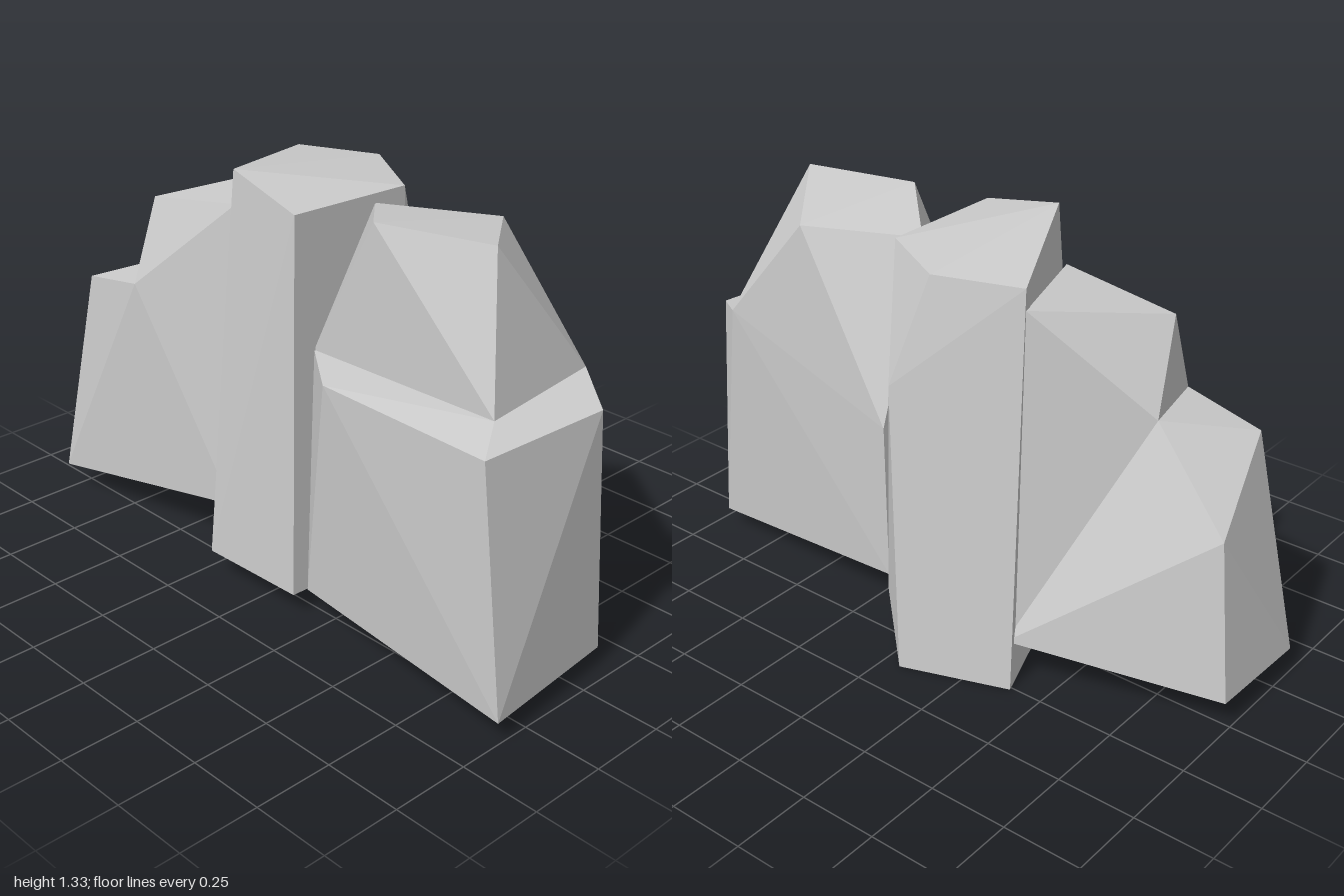
import * as THREE from 'three';
import { ConvexGeometry } from 'three/addons/geometries/ConvexGeometry.js';

const material = new THREE.MeshStandardMaterial({ color: 0xcccccc, flatShading: true });

// A faceted boulder: the convex hull of its corner points
function rock(name, corners) {
  const mesh = new THREE.Mesh(
    new ConvexGeometry(corners.map((c) => new THREE.Vector3(...c))),
    material
  );
  mesh.name = name;
  return mesh;
}

function side(name, ...rocks) {
  const group = new THREE.Group();
  group.name = name;
  group.add(...rocks);
  return group;
}

export function createModel() {
  const model = new THREE.Group();
  model.name = 'rockCluster';

  // Tall middle pillar
  model.add(rock('centrePillar', [
    [-0.14, 1.33, 0.28], [0.15, 1.27, 0.31], [0.16, 1.265, -0.11],
    [-0.1, 1.27, -0.265], [-0.36, 1.265, -0.17],
    [-0.01, 0.93, -0.345],
    [-0.2, 0.09, 0.36], [0.16, 0.08, 0.34], [0.17, 0.08, -0.165],
    [-0.06, 0, -0.38], [-0.395, 0, -0.26],
  ]));

  // Left boulder: a broad base with a ledge, and a peak set back on it
  const leftSeam = [
    [0.15, 0.85, 0.24], [0.83, 0.86, 0.235], [0.8, 0.88, -0.175], [0.17, 0.66, -0.17],
  ];
  model.add(side('leftBoulder',
    rock('leftBase', [
      ...leftSeam,
      [0.33, 0.84, 0.375], [0.92, 0.825, 0.37], [0.95, 0.835, -0.065],
      [0.19, 0.1, 0.31], [1, 0.07, 0.367], [0.95, 0.065, -0.12], [0.17, 0.13, -0.16],
    ]),
    rock('leftPeak', [
      ...leftSeam,
      [0.38, 1.29, 0.235], [0.74, 1.295, 0.145], [0.49, 1.24, -0.165], [0.15, 1.235, 0],
    ])
  ));

  // Right boulder: a low outer step leaning on a taller inner step
  const rightSeam = [
    [-0.6, 0.86, 0.31], [-0.67, 0.88, 0.04], [-0.23, 0.2, 0.25], [-0.36, 0.15, -0.24],
  ];
  model.add(side('rightBoulder',
    rock('rightLowStep', [
      ...rightSeam,
      [-0.86, 0.81, 0.29], [-0.93, 0.6, 0], [-1, 0.09, 0.34], [-0.99, 0.09, -0.02],
    ]),
    rock('rightHighStep', [
      ...rightSeam,
      [-0.6, 1.125, 0.215], [-0.23, 1.185, 0.2], [-0.36, 1.2, -0.17],
    ])
  ));

  return model;
}
